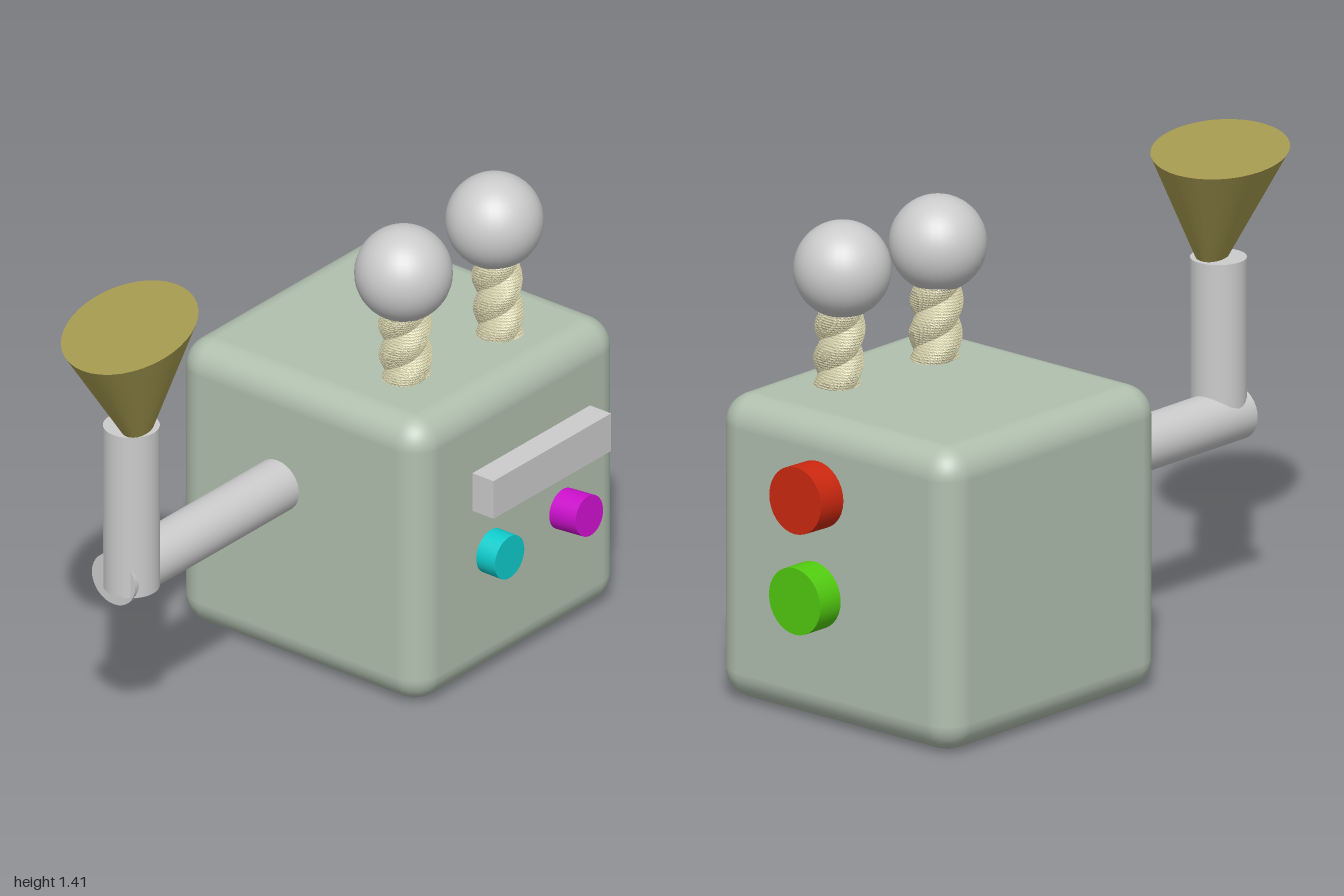
import * as THREE from 'three';
import { RoundedBoxGeometry } from 'three/addons/geometries/RoundedBoxGeometry.js';
import { toCreasedNormals } from 'three/addons/utils/BufferGeometryUtils.js';

const material = (color) => new THREE.MeshStandardMaterial({ color });
const grey = material(0xcccccc);
const UP = new THREE.Vector3(0, 1, 0);

export function createModel() {
  const model = new THREE.Group();

  const add = (name, geometry, mat, x, y, z) => {
    const mesh = new THREE.Mesh(geometry, mat);
    mesh.name = name;
    mesh.position.set(x, y, z);
    model.add(mesh);
    return mesh;
  };

  // Places a part built along y so that it runs between two points
  const span = (name, makeGeometry, mat, from, to) => {
    const a = new THREE.Vector3(...from);
    const axis = new THREE.Vector3(...to).sub(a);
    const length = axis.length();
    const mid = a.addScaledVector(axis, 0.5);
    const mesh = add(name, makeGeometry(length), mat, mid.x, mid.y, mid.z);
    mesh.quaternion.setFromUnitVectors(UP, axis.normalize());
    return mesh;
  };
  const rod = (name, r, mat, from, to) =>
    span(name, (l) => new THREE.CylinderGeometry(r, r, l, 32), mat, from, to);

  // Rounded body and front display
  add('body', new RoundedBoxGeometry(0.925, 0.915, 0.91, 4, 0.09), material(0xb1c0af), 0.4325, 0.4575, -0.05);
  add('displayPanel', new THREE.BoxGeometry(0.535, 0.122, 0.14), grey, 0.478, 0.624, 0.413);

  // Front buttons
  rod('cyanButton', 0.067, material(0x10cccc), [0.295, 0.4, 0.36], [0.295, 0.4, 0.474]);
  rod('magentaButton', 0.062, material(0xcc10cc), [0.622, 0.398, 0.36], [0.622, 0.41, 0.503]);

  // Side buttons
  rod('redButton', 0.1, material(0xcc2810), [0.85, 0.694, 0.003], [0.99, 0.698, 0.004]);
  rod('greenButton', 0.1, material(0x52cc10), [0.85, 0.39, 0.013], [0.98, 0.39, 0.015]);

  // Bent pipe leading to the funnel
  rod('horizontalPipe', 0.08, grey, [-0.775, 0.57, -0.12], [0.05, 0.57, -0.12]);
  rod('verticalPipe', 0.082, grey, [-0.71, 0.53, -0.107], [-0.71, 1.05, -0.107]);

  // Oval funnel, slightly tilted
  const funnel = span('funnel',
    (l) => new THREE.CylinderGeometry(0.293, 0.07, l, 40).scale(1, 1, 0.64),
    material(0xa99d52), [-0.707, 1.05, -0.085], [-0.72, 1.37, -0.105]);
  funnel.rotateY(0.396);

  // Two-strand twisted stalk
  const stalkMaterial = material(0xd8d3ae);
  const twistedStalk = (length, scaleX) => {
    const g = new THREE.CylinderGeometry(1, 1, length, 40, 48);
    const p = g.attributes.position;
    const strand = 0.0636, offset = 0.0143, pitch = 0.2;
    for (let i = 0; i < p.count; i++) {
      const x = p.getX(i), y = p.getY(i), z = p.getZ(i);
      if (Math.hypot(x, z) < 0.5) continue;
      const angle = Math.atan2(x, z);
      const r = offset * Math.abs(Math.cos(angle)) +
        Math.sqrt(strand ** 2 - (offset * Math.sin(angle)) ** 2);
      const turned = angle + (y / pitch) * Math.PI * 2;
      p.setXYZ(i, Math.sin(turned) * r * scaleX, y, Math.cos(turned) * r);
    }
    return toCreasedNormals(g, 0.35);
  };

  // Antennae with ball tops
  const antennae = [
    { side: 'right', base: [0.225, 0.87, 0.15], ball: [0.205, 1.255, 0.155], scaleX: 1 },
    { side: 'left', base: [0.593, 0.87, 0.197], ball: [0.6, 1.268, 0.17], scaleX: 0.87 },
  ];
  for (const { side, base, ball, scaleX } of antennae) {
    span(side + 'AntennaStalk', (l) => twistedStalk(l, scaleX), stalkMaterial, base, ball);
    add(side + 'AntennaBall', new THREE.SphereGeometry(0.142, 32, 24), grey, ...ball);
  }

  return model;
}
